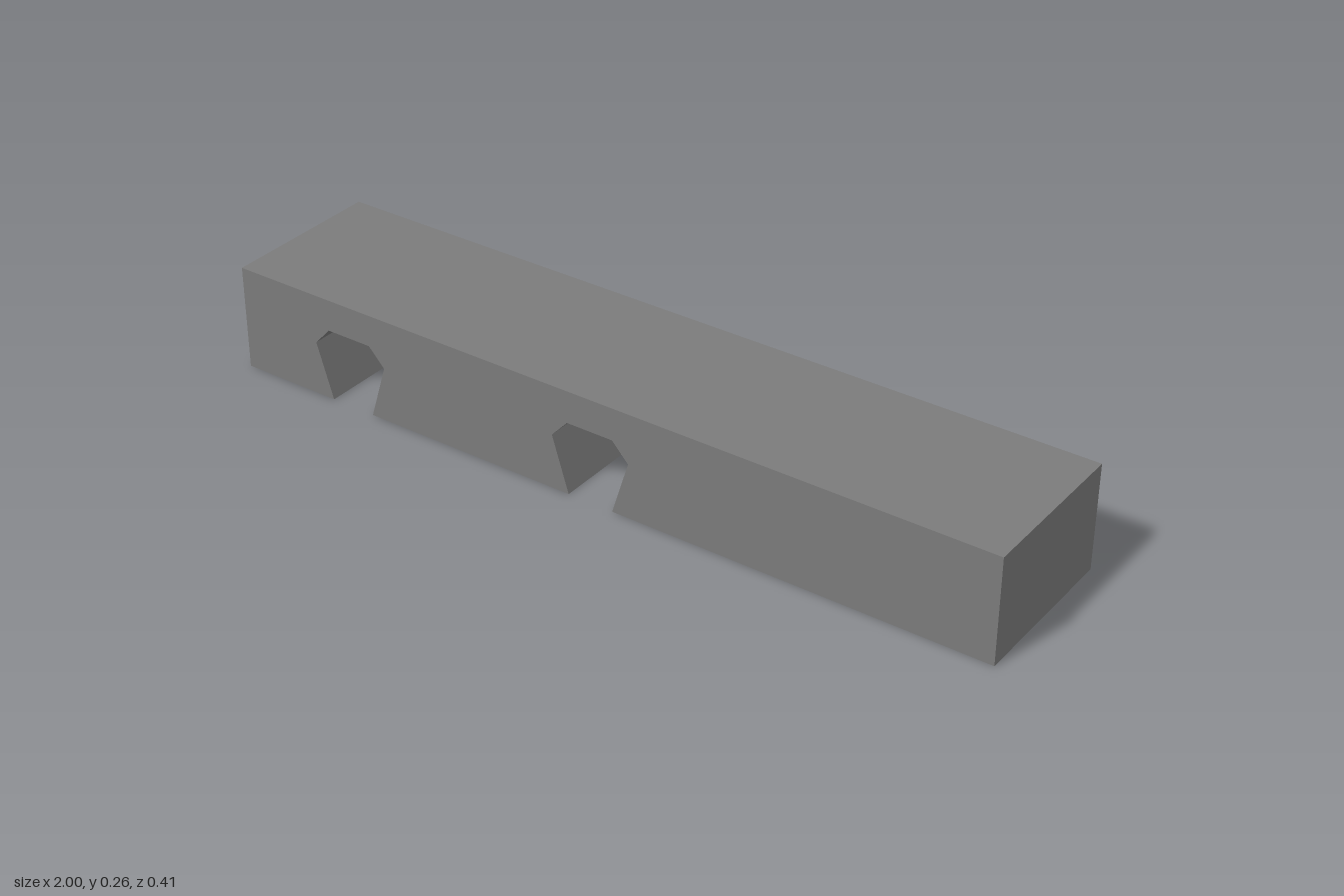
import * as THREE from 'three';

const H = 0.263, MID = 0.138, TOP = 0.183;
const FRONT = 0.205, BACK = -0.205, RECESS = -0.201;
const CENTRES = [-0.68, 0];
// Half widths of a notch at its foot, widest height and flat top
const WIDE = [0.059, 0.102, 0.06];
const NARROW = [0.047, 0.078, 0.048];
// Heights of the long grooves on the back
const GROOVES = [[0.13, MID], [0.198, 0.203]];

function halfWidth(y, w) {
  return y < MID
    ? THREE.MathUtils.mapLinear(y, 0, MID, w[0], w[1])
    : THREE.MathUtils.mapLinear(y, MID, TOP, w[1], w[2]);
}

// Outlines of the bar between two heights, with the notches cut from below
function outlines(y0, y1, w) {
  const shape = (pts) => new THREE.Shape(pts.map(([x, y]) => new THREE.Vector2(x, y)));
  if (y1 <= MID) {
    const lefts = [() => -1, ...CENTRES.map((c) => (y) => c + halfWidth(y, w))];
    const rights = [...CENTRES.map((c) => (y) => c - halfWidth(y, w)), () => 1];
    return lefts.map((l, i) => {
      const r = rights[i];
      return shape([[l(y0), y0], [r(y0), y0], [r(y1), y1], [l(y1), y1]]);
    });
  }
  const pts = [[-1, y0]];
  if (y0 < TOP) {
    for (const c of CENTRES) {
      const ys = y0 < MID ? [y0, MID, TOP] : [y0, TOP];
      ys.forEach((y) => pts.push([c - halfWidth(y, w), y]));
      ys.reverse().forEach((y) => pts.push([c + halfWidth(y, w), y]));
    }
  }
  pts.push([1, y0], [1, y1], [-1, y1]);
  return [shape(pts)];
}

export function createModel() {
  const group = new THREE.Group();
  const material = new THREE.MeshStandardMaterial({ color: 0x7b7b7b, flatShading: true });

  function add(name, geometry, x, y, z) {
    const mesh = new THREE.Mesh(geometry, material);
    mesh.name = name;
    mesh.position.set(x, y, z);
    group.add(mesh);
  }

  function slab(name, y0, y1, z0, z1, w) {
    add(name, new THREE.ExtrudeGeometry(outlines(y0, y1, w), { depth: z1 - z0, bevelEnabled: false }), 0, 0, z0);
  }

  // Bar in three layers, a thin middle rib narrowing the notches
  slab('frontBody', 0, H, 0.01, FRONT, WIDE);
  slab('notchRib', 0, H, -0.01, 0.01, NARROW);
  slab('backBody', 0, H, RECESS, -0.01, WIDE);

  // Back boards separated by two long grooves
  slab('lowerBackBoard', 0, GROOVES[0][0], BACK, RECESS, WIDE);
  slab('middleBackBoard', GROOVES[0][1], GROOVES[1][0], BACK, RECESS, WIDE);
  slab('upperBackBoard', GROOVES[1][1], H, BACK, RECESS, WIDE);

  // Small stops closing the grooves at both ends
  for (const [y0, y1] of GROOVES) {
    for (const side of [-1, 1]) {
      const stop = new THREE.BoxGeometry(0.004, y1 - y0, RECESS - BACK);
      add('grooveStop', stop, side * 0.998, (y0 + y1) / 2, (BACK + RECESS) / 2);
    }
  }

  return group;
}
